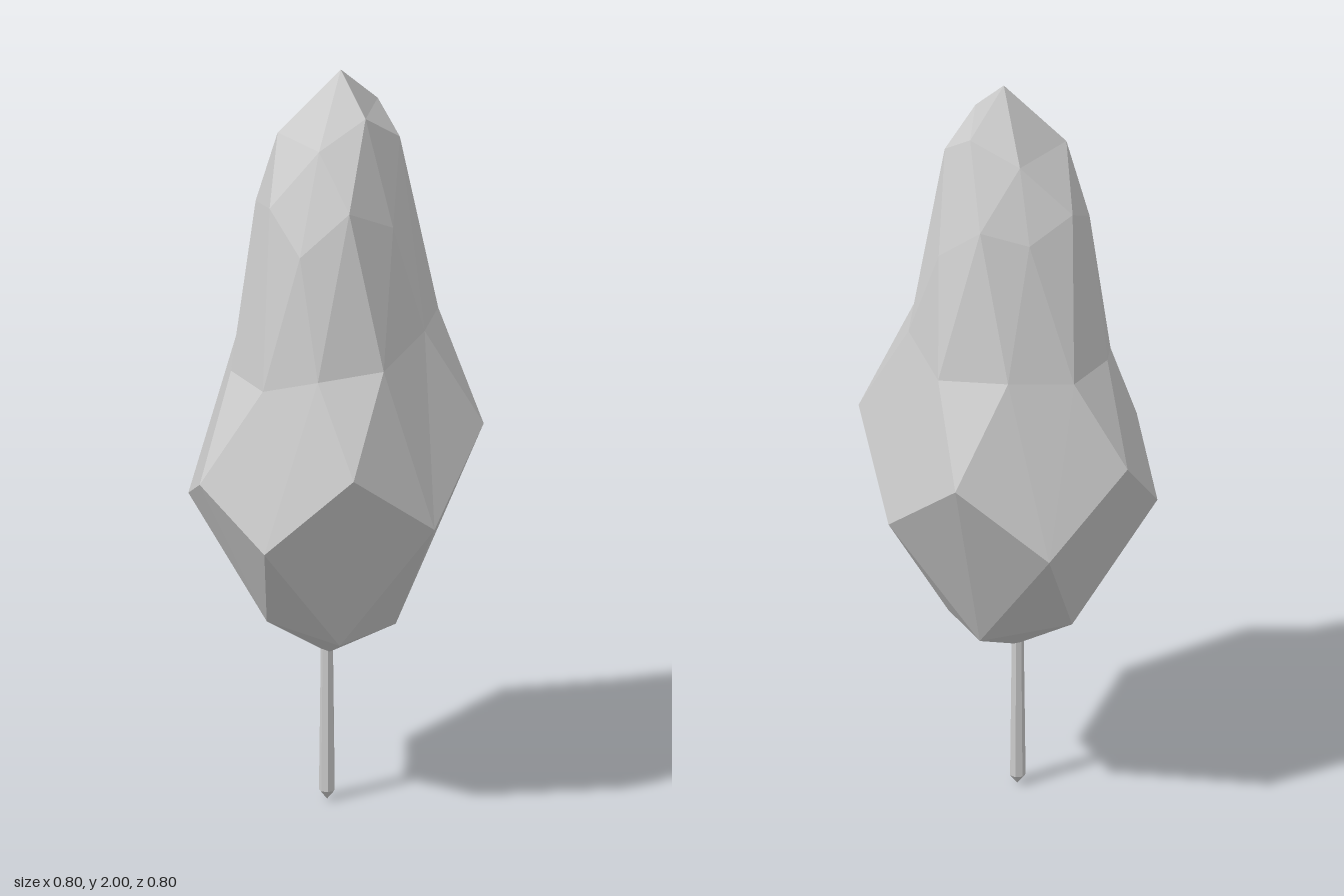
import * as THREE from 'three';

// Foliage cross-sections from bottom to top, each turning from +x towards +z: [x, y, z]
const rings = [
  [[0.005, 0.4, 0.01]],
  [[0.165, 0.49, 0.13], [-0.04, 0.52, 0.19], [-0.19, 0.52, 0.0], [-0.03, 0.49, -0.18], [0.15, 0.49, -0.09]],
  [[0.345, 1.02, 0.26], [0.145, 0.8, 0.385], [-0.075, 0.94, 0.4], [-0.285, 0.82, 0.23], [-0.4, 1.04, -0.03],
    [-0.32, 0.83, -0.25], [-0.13, 1.03, -0.4], [0.13, 0.84, -0.355], [0.35, 1.06, -0.21], [0.4, 0.84, 0.02]],
  [[0.2, 1.25, 0.245], [0.05, 1.2, 0.295], [-0.12, 1.2, 0.24], [-0.25, 1.27, 0.07], [-0.275, 1.27, -0.095],
    [-0.17, 1.29, -0.235], [0.01, 1.27, -0.3], [0.175, 1.33, -0.22], [0.275, 1.33, -0.07], [0.3, 1.27, 0.105]],
  [[0.215, 1.69, 0.145], [0.125, 1.57, 0.235], [0, 1.67, 0.22], [-0.145, 1.63, 0.125], [-0.2, 1.7, -0.01],
    [-0.155, 1.64, -0.13], [-0.06, 1.68, -0.215], [0.07, 1.58, -0.225], [0.145, 1.82, -0.11], [0.23, 1.62, 0.0]],
  [[0.1, 1.83, 0.14], [-0.08, 1.83, 0.11], [-0.09, 1.83, -0.09], [0.035, 1.89, -0.14], [0.145, 1.9, 0.015]],
  [[0.03, 2, -0.01]],
].map((ring) => ring.map((p) => new THREE.Vector3(...p)));

// Heading of a ring's k-th corner, measured from just before the first corners and growing past a full turn
function heading(ring, k) {
  const p = ring[k % ring.length];
  const turn = THREE.MathUtils.euclideanModulo(Math.atan2(p.z, p.x) - Math.PI / 6, 2 * Math.PI);
  return turn + 2 * Math.PI * Math.floor(k / ring.length);
}

// Joins two closed rings with triangles, taking their edges in order of heading; a single point has no edges
function bridge(lower, upper, out) {
  const at = (ring, k) => ring[k % ring.length];
  const edgeHeading = (ring, k) =>
    ring.length > 1 && k < ring.length ? heading(ring, k) + heading(ring, k + 1) : Infinity;
  let i = 0, j = 0;
  while (Math.min(edgeHeading(lower, i), edgeHeading(upper, j)) < Infinity) {
    out.push(at(lower, i), at(upper, j));
    if (edgeHeading(lower, i) < edgeHeading(upper, j)) out.push(at(lower, ++i));
    else out.push(at(upper, ++j));
  }
}

export function createModel() {
  const tree = new THREE.Group();
  tree.name = 'tree';
  const material = new THREE.MeshStandardMaterial({ color: 0xcccccc, flatShading: true });

  // Faceted crown
  const points = [];
  for (let k = 0; k < rings.length - 1; k++) bridge(rings[k], rings[k + 1], points);
  const crownGeometry = new THREE.BufferGeometry().setFromPoints(points);
  crownGeometry.computeVertexNormals();
  const crown = new THREE.Mesh(crownGeometry, material);
  crown.name = 'foliage';
  tree.add(crown);

  // Thin trunk with a pointed foot
  const profile = [[0, 0], [0.021, 0.025], [0.016, 0.44]].map((p) => new THREE.Vector2(...p));
  const trunk = new THREE.Mesh(new THREE.LatheGeometry(profile, 7), material);
  trunk.name = 'trunk';
  trunk.position.set(0.005, 0, 0.015);
  tree.add(trunk);

  return tree;
}
